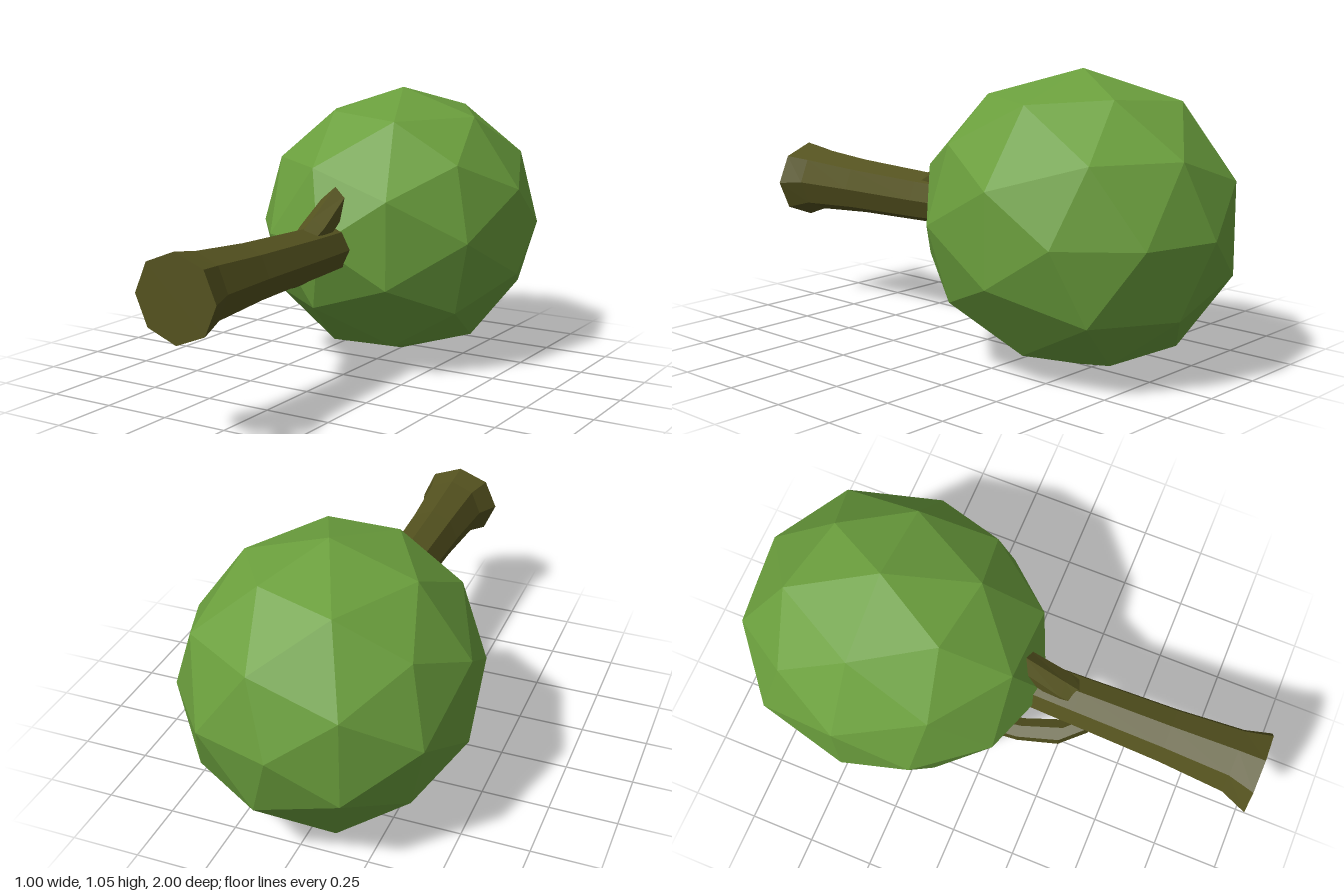
import * as THREE from 'three';

const bark = new THREE.MeshStandardMaterial({ color: 0x54521f, flatShading: true });
const leaves = new THREE.MeshStandardMaterial({ color: 0x6b9f3d, flatShading: true });

// Faceted limb running along -z; each section is [x, y, z, radiusX, radiusY]
function limb(name, sides, sections) {
  const k = sections.length - 1;
  const geo = new THREE.CylinderGeometry(1, 1, k, sides, k);
  geo.rotateX(Math.PI / 2);
  const p = geo.attributes.position;
  for (let i = 0; i < p.count; i++) {
    const [x, y, z, rx, ry] = sections[Math.round(k / 2 - p.getZ(i))];
    p.setXYZ(i, x + p.getX(i) * rx, y + p.getY(i) * ry, z);
  }
  geo.computeVertexNormals();
  const mesh = new THREE.Mesh(geo, bark);
  mesh.name = name;
  return mesh;
}

// Faceted crown: subdivided icosahedron with a pole on the z axis, stretched by level
function crown() {
  const geo = new THREE.IcosahedronGeometry(1, 1);
  geo.rotateX(Math.atan(2 / (1 + Math.sqrt(5))));
  geo.rotateZ(-Math.PI / 10);
  const levels = [
    [-1, -1], [-0.851, -0.925], [-0.526, -0.76], [-0.447, -0.69], [0, -0.445],
    [0.447, -0.17], [0.526, -0.13], [0.851, 0.075], [1, 0.175],
  ];
  const p = geo.attributes.position;
  for (let i = 0; i < p.count; i++) {
    const z = p.getZ(i);
    const level = levels.reduce((a, b) => (Math.abs(b[0] - z) < Math.abs(a[0] - z) ? b : a));
    p.setXYZ(i, p.getX(i) * 0.525, 0.525 + p.getY(i) * 0.525, level[1]);
  }
  geo.computeVertexNormals();
  const mesh = new THREE.Mesh(geo, leaves);
  mesh.name = 'crown';
  return mesh;
}

export function createModel() {
  const tree = new THREE.Group();
  tree.name = 'lyingTree';
  tree.add(
    crown(),
    // Trunk flares at its foot
    limb('trunk', 8, [
      [0.01, 0.5, 1, 0.16, 0.15],
      [0.015, 0.51, 0.9, 0.125, 0.125],
      [0.015, 0.51, 0.65, 0.107, 0.107],
      [0.015, 0.51, 0.3, 0.096, 0.096],
      [0.015, 0.515, -0.1, 0.085, 0.085],
    ]),
    // Branch rising into the crown
    limb('upperBranch', 6, [
      [0.02, 0.53, 0.32, 0.05, 0.06],
      [0.02, 0.575, 0.24, 0.058, 0.06],
      [0.02, 0.672, 0.08, 0.05, 0.06],
      [0.02, 0.77, -0.1, 0.04, 0.05],
    ]),
    // Branch bending out to the lower side
    limb('lowerBranch', 6, [
      [-0.02, 0.46, 0.37, 0.05, 0.05],
      [-0.09, 0.415, 0.28, 0.05, 0.046],
      [-0.13, 0.385, 0.13, 0.045, 0.04],
      [-0.15, 0.375, -0.02, 0.035, 0.035],
    ]),
  );
  return tree;
}
